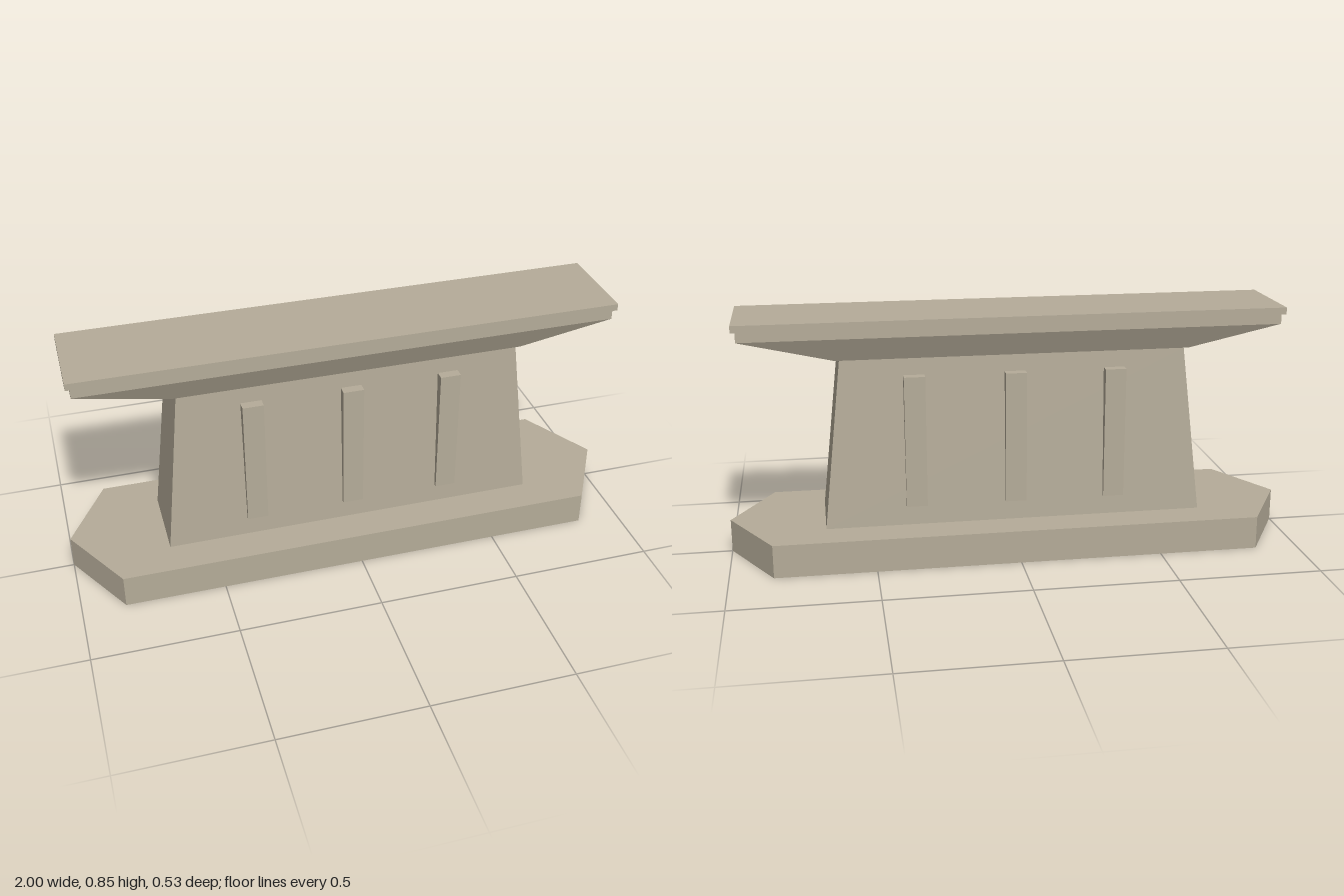
import * as THREE from 'three';

const stone = new THREE.MeshStandardMaterial({ color: 0xb5ac99 });
stone.name = 'stone';

// Rectangular block whose bottom and top may differ in size (half extents)
function taperedBlock(y0, y1, [bx, bz], [tx, tz] = [bx, bz]) {
  const geo = new THREE.BoxGeometry(2, 1, 2);
  const p = geo.attributes.position;
  for (let i = 0; i < p.count; i++) {
    const top = p.getY(i) > 0;
    p.setXYZ(i, p.getX(i) * (top ? tx : bx), top ? y1 : y0, p.getZ(i) * (top ? tz : bz));
  }
  geo.computeVertexNormals();
  return geo;
}

export function createModel() {
  const group = new THREE.Group();
  group.name = 'bridgePier';
  const add = (name, geo) => {
    const mesh = new THREE.Mesh(geo, stone);
    mesh.name = name;
    group.add(mesh);
    return mesh;
  };

  // Footing with pointed ends
  const outline = new THREE.Shape(
    [[-1, 0], [-0.85, -0.267], [0.85, -0.267], [1, 0], [0.85, 0.267], [-0.85, 0.267]]
      .map(([x, y]) => new THREE.Vector2(x, y)));
  const footing = new THREE.ExtrudeGeometry(outline, { depth: 0.117, bevelEnabled: false });
  footing.rotateX(-Math.PI / 2);
  add('footing', footing);

  // Tapered shaft, flared head and stepped cap
  add('shaft', taperedBlock(0.117, 0.711, [0.667, 0.141], [0.6, 0.113]));
  add('flaredHead', taperedBlock(0.711, 0.793, [0.615, 0.12], [0.935, 0.159]));
  add('headBand', taperedBlock(0.793, 0.828, [0.935, 0.159]));
  add('capSlab', taperedBlock(0.828, 0.852, [0.95, 0.166]));

  // Upright ribs on both long faces
  for (const side of [1, -1]) {
    for (const x of [-0.35, 0, 0.35]) {
      const rib = add('rib', taperedBlock(0.186, 0.651, [0.0365, 0.025]));
      rib.position.set(x, 0, side * 0.125);
    }
  }
  return group;
}
